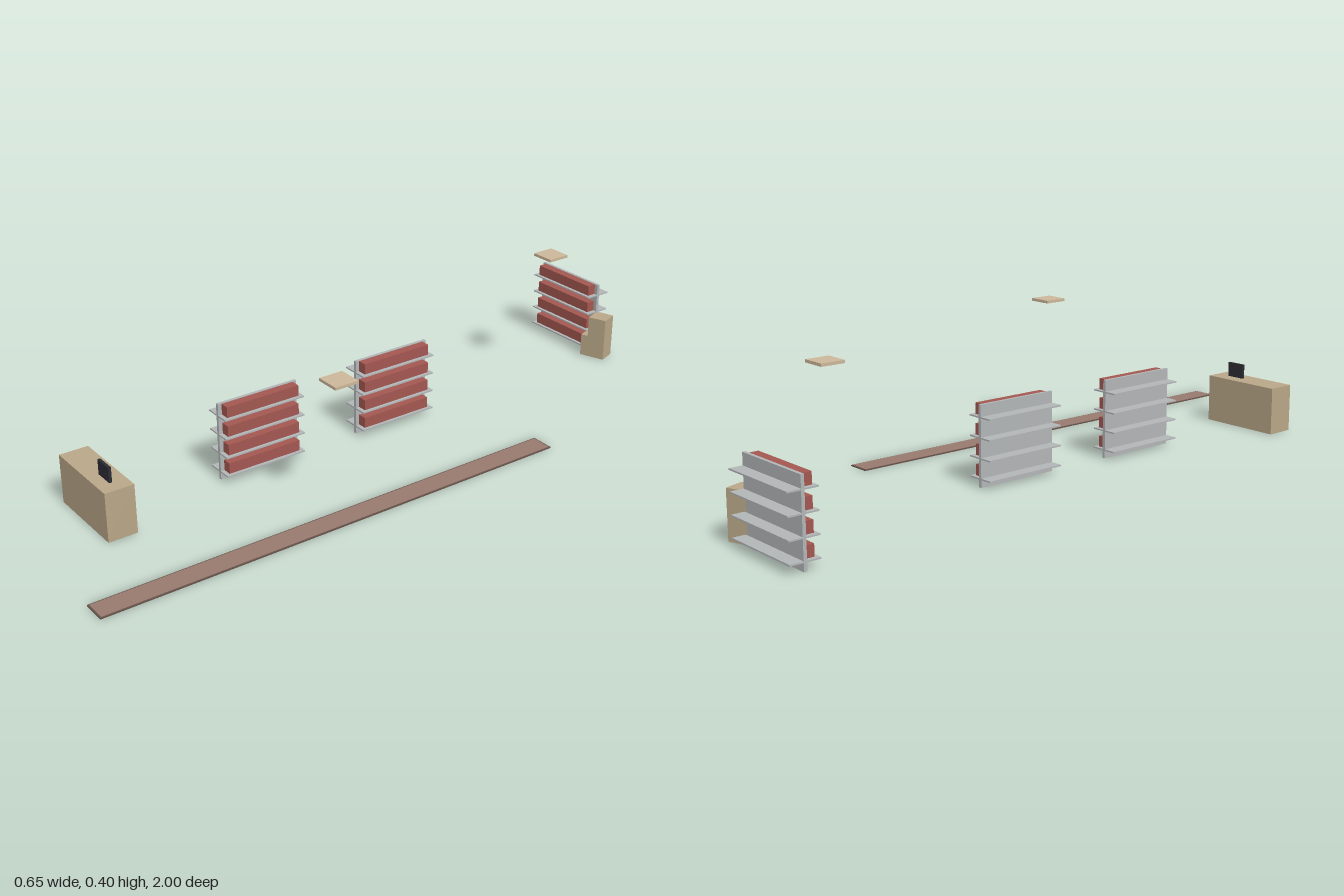
import * as THREE from 'three';

const mat = (name, color) => {
  const m = new THREE.MeshStandardMaterial({ color });
  m.name = name;
  return m;
};

export function createModel() {
  const metal = mat('shelf grey', 0xb2b5b6);
  const goods = mat('goods red', 0xa35750);
  const wood = mat('counter tan', 0xb8a687);
  const panel = mat('ceiling panel cream', 0xcbb799);
  const dark = mat('screen black', 0x2c2c34);
  const carpet = mat('runner brown', 0x977a6e);
  const trim = mat('runner dark edge', 0x665249);

  // box given by its min and max on each axis
  const box = (parent, name, material, [x0, x1], [y0, y1], [z0, z1]) => {
    const mesh = new THREE.Mesh(new THREE.BoxGeometry(x1 - x0, y1 - y0, z1 - z0), material);
    mesh.position.set((x0 + x1) / 2, (y0 + y1) / 2, (z0 + z1) / 2);
    mesh.name = name;
    parent.add(mesh);
    return mesh;
  };

  const model = new THREE.Group();
  model.name = 'shopInterior';

  // shelf unit: central board, shelves on both sides, goods on the front (+z) side
  const shelfUnit = (name, x, z, turn) => {
    const unit = new THREE.Group();
    unit.name = name;
    box(unit, 'backBoard', metal, [-0.124, 0.124], [0, 0.225], [-0.0045, 0.0045]);
    for (let i = 0; i < 4; i++) {
      const y = 0.0215 + i * 0.0557;
      box(unit, 'shelf', metal, [-0.1245, 0.1245], [y, y + 0.004], [-0.041, 0.041]);
      box(unit, 'goodsRow', goods, [-0.1125, 0.1125], [y + 0.004, y + 0.035], [0.0045, 0.0315]);
    }
    unit.position.set(x, 0, z);
    unit.rotation.y = turn;
    model.add(unit);
  };
  shelfUnit('frontShelf', -0.0745, 0.312, Math.PI / 2);
  shelfUnit('middleShelf', -0.0745, -0.136, Math.PI / 2);
  shelfUnit('rearShelf', -0.2025, -0.959, 0);

  // counter with an upright screen
  box(model, 'counter', wood, [-0.213, 0.038], [0, 0.14], [0.747, 0.83]);
  box(model, 'counterScreen', dark, [-0.06, -0.003], [0.14, 0.183], [0.787, 0.795]);

  // angled stack of two cartons beside the rear shelf
  const stack = new THREE.Group();
  stack.name = 'cartonStack';
  box(stack, 'lowerCarton', wood, [-0.0395, 0.0395], [0, 0.068], [-0.0275, 0.0275]);
  box(stack, 'upperCarton', wood, [-0.0175, 0.0395], [0.068, 0.132], [-0.0275, 0.0275]);
  stack.position.set(-0.058, 0, -0.944);
  stack.rotation.y = 0.34;
  model.add(stack);

  // floor runner: dark base with a lighter top
  box(model, 'runnerBase', trim, [0.256, 0.324], [0, 0.003], [-0.398, 1]);
  box(model, 'runnerTop', carpet, [0.26, 0.32], [0.003, 0.004], [-0.394, 0.996]);

  // hanging ceiling panels
  box(model, 'ceilingPanel', panel, [-0.07, 0], [0.391, 0.399], [-0.737, -0.669]);
  box(model, 'ceilingPanel', panel, [0.256, 0.325], [0.391, 0.399], [0.267, 0.336]);

  return model;
}
